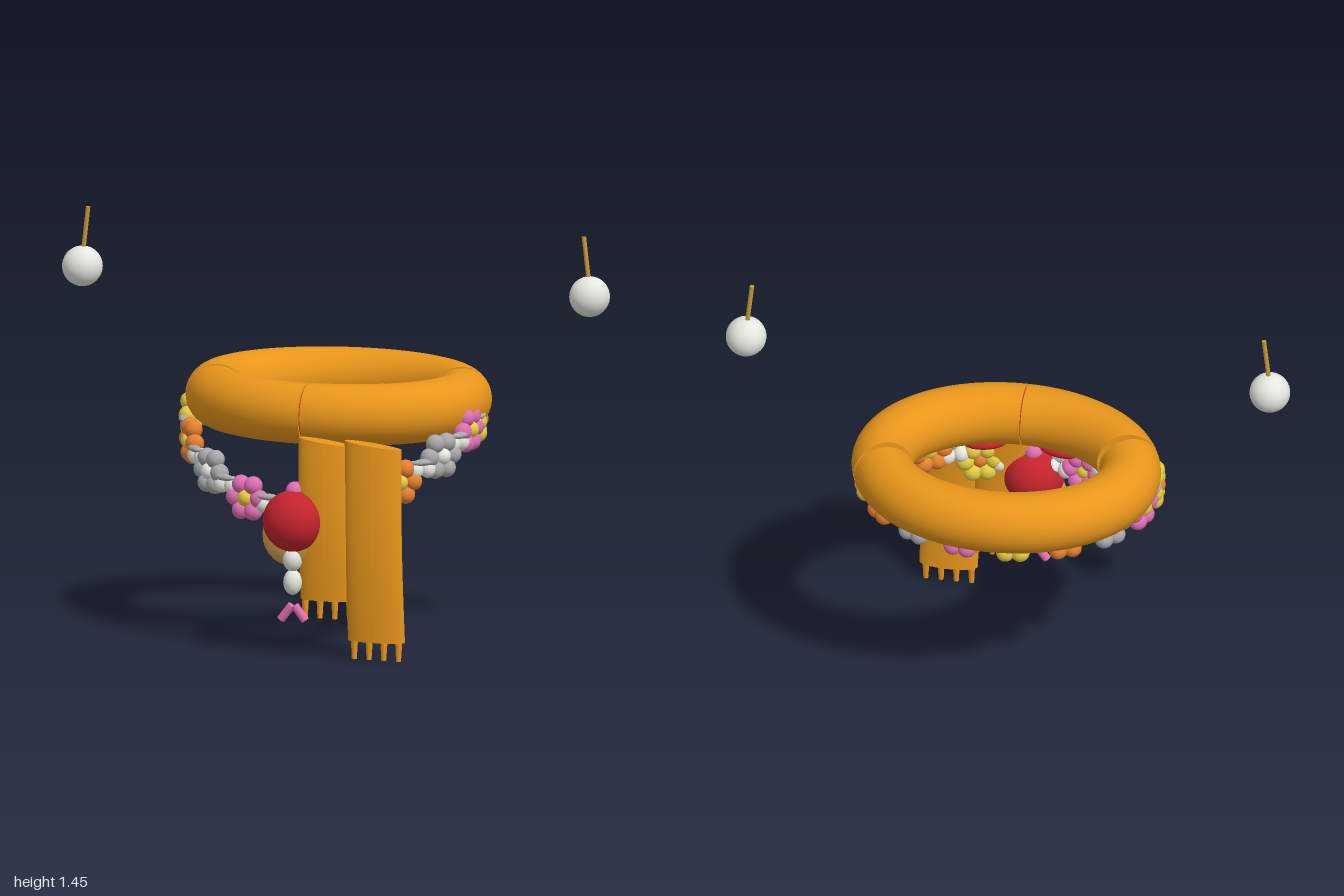
import * as THREE from 'three';
import { toCreasedNormals } from 'three/addons/utils/BufferGeometryUtils.js';

const material = (color) => new THREE.MeshStandardMaterial({ color });
const M = {
  scarf: material(0xe8961a), red: material(0xc4242c), pink: material(0xe06fb2), yellow: material(0xe2cb40),
  grey: material(0xa8a8a8), orange: material(0xe57f30), white: material(0xe6e6e0), gold: material(0xc79a35), tan: material(0xcfa050),
};
const ball = new THREE.SphereGeometry(1, 20, 14);
const bigBall = new THREE.SphereGeometry(1, 40, 28);

function add(parent, name, geometry, mat, x = 0, y = 0, z = 0) {
  const mesh = new THREE.Mesh(geometry, mat);
  mesh.name = name;
  mesh.position.set(x, y, z);
  parent.add(mesh);
  return mesh;
}

function addBall(parent, name, mat, x, y, z, rx, ry = rx, rz = rx, geometry = ball) {
  const mesh = add(parent, name, geometry, mat, x, y, z);
  mesh.scale.set(rx, ry, rz);
  return mesh;
}

// rod between two points
function addRod(parent, name, mat, a, b, r0, r1 = r0) {
  const from = new THREE.Vector3(...a), to = new THREE.Vector3(...b);
  const dir = to.clone().sub(from);
  const mesh = add(parent, name, new THREE.CylinderGeometry(r1, r0, dir.length(), 12), mat);
  mesh.position.copy(from).add(to).multiplyScalar(0.5);
  mesh.quaternion.setFromUnitVectors(new THREE.Vector3(0, 1, 0), dir.normalize());
}

// closed piece of an oval ring; each end opens a wedge towards the inside
function ringSection(start, end, tube, wedgeStart, wedgeEnd) {
  const rx = 0.435, rz = 0.345, rows = 48, sides = 32;
  const pos = [], index = [];
  for (let i = 0; i <= rows + 2; i++) {
    const t = Math.min(Math.max((i - 1) / rows, 0), 1);
    const r = i === 0 || i === rows + 2 ? 0 : tube;
    for (let j = 0; j <= sides; j++) {
      const phi = (j / sides) * Math.PI * 2;
      const inner = r ? (1 - Math.cos(phi)) / 2 : 0.5;
      const a0 = start + 0.006 + wedgeStart * inner, a1 = end - 0.006 - wedgeEnd * inner;
      const a = a0 + (a1 - a0) * t, c = Math.cos(a), s = Math.sin(a);
      const n = new THREE.Vector2(c * rz, s * rx).normalize();
      const out = r * Math.cos(phi);
      pos.push(rx * c + n.x * out, r * Math.sin(phi), rz * s + n.y * out);
      if (i < rows + 2 && j < sides) {
        const k = i * (sides + 1) + j, m = k + sides + 1;
        index.push(k, k + 1, m, k + 1, m + 1, m);
      }
    }
  }
  const g = new THREE.BufferGeometry();
  g.setAttribute('position', new THREE.Float32BufferAttribute(pos, 3));
  g.setIndex(index);
  return toCreasedNormals(g, 0.8);
}

// hanging scarf end: an oval column that leans and bows slightly
function addScarfEnd(parent, name, top, bottom, xTop, xBottom, half, zShift, tassels) {
  const g = new THREE.CylinderGeometry(1, 1, 1, 32, 14);
  const p = g.attributes.position;
  for (let i = 0; i < p.count; i++) {
    const t = 0.5 - p.getY(i);
    const x = THREE.MathUtils.lerp(xTop, xBottom, t) + half * p.getX(i);
    const z = 0.395 + 0.025 * t + 0.015 * Math.sin(Math.PI * t) + zShift + 0.034 * p.getZ(i);
    p.setXYZ(i, x, THREE.MathUtils.lerp(top, bottom, t) - 0.012 * p.getX(i) * (1 - t), z);
  }
  g.computeVertexNormals();
  add(parent, name, g, M.scarf);
  for (let i = 0; i < tassels; i++) {
    const x = xBottom + (i - (tassels - 1) / 2) * 0.054;
    addRod(parent, 'tassel', M.scarf, [x, bottom - 0.066, 0.422 + zShift], [x, bottom + 0.005, 0.42 + zShift], 0.009, 0.013);
  }
}

// height of the garland by angle (degrees) away from the front
const heights = [[0, 0.52], [20, 0.54], [44, 0.62], [67, 0.705], [87, 0.77], [181, 0.77]];
function garlandHeight(deg) {
  const i = heights.findIndex((h) => deg < h[0]);
  const [a, ya] = heights[i - 1], [b, yb] = heights[i];
  return ya + ((yb - ya) * (deg - a)) / (b - a);
}

// group on the garland line whose local z points outward
function garlandSpot(parent, name, turn) {
  const a = turn * Math.PI * 2, deg = turn * 360;
  const g = new THREE.Group();
  g.name = name;
  g.position.set(0.51 * Math.sin(a), garlandHeight(Math.min(deg, 360 - deg)), -0.02 + 0.43 * Math.cos(a));
  g.rotation.y = Math.atan2(Math.sin(a) * 0.43, Math.cos(a) * 0.51);
  parent.add(g);
  return g;
}

export function createModel() {
  const model = new THREE.Group();

  // scarf wrapped in three padded pieces, with a red lining
  const scarf = new THREE.Group();
  scarf.name = 'scarf';
  scarf.position.set(0, 0.832, -0.08);
  model.add(scarf);
  const d = Math.PI / 180;
  add(scarf, 'scarfLeftFront', ringSection(-18 * d, 90 * d, 0.107, 0.1, 0), M.scarf);
  add(scarf, 'scarfRightFront', ringSection(90 * d, 162 * d, 0.107, 0, 0.1), M.scarf);
  add(scarf, 'scarfBack', ringSection(162 * d, 342 * d, 0.107, 0.03, 0.03), M.scarf);
  add(scarf, 'scarfLining', ringSection(55 * d, 125 * d, 0.097, 0, 0), M.red);
  for (const s of [-1, 1]) {
    const patch = addBall(model, 'liningPatch', M.red, s * 0.13, 0.737, 0.205, 0.075, 0.022, 0.032);
    patch.rotation.y = s * 0.28;
  }

  // scarf ends with tassels
  addScarfEnd(model, 'scarfEndShort', 0.76, 0.205, 0.105, 0.12, 0.098, -0.008, 4);
  addScarfEnd(model, 'scarfEndLong', 0.76, 0.07, 0.282, 0.303, 0.104, 0.002, 4);

  // flower garland
  const garland = new THREE.Group();
  garland.name = 'garland';
  model.add(garland);
  const colors = [M.yellow, M.orange, M.grey, M.pink];
  const centers = [M.orange, M.yellow, M.white, M.yellow];
  for (let i = 0; i < 16; i++) {
    const flower = garlandSpot(garland, 'flower', (i + 1) / 17);
    addBall(flower, 'flowerCenter', centers[i % 4], 0, 0, 0.008, 0.03);
    for (let k = 0; k < 6; k++) {
      const a = (k * Math.PI) / 3;
      addBall(flower, 'petal', colors[i % 4], 0.052 * Math.cos(a), 0.052 * Math.sin(a), 0, 0.033);
    }
  }
  for (let i = 0; i < 17; i++) {
    const spacer = garlandSpot(garland, 'spacer', (i + 0.5) / 17);
    for (const s of [-1, 1]) addBall(spacer, 'whiteBead', M.white, s * 0.026, 0, 0, 0.03, 0.032, 0.03);
    addBall(spacer, 'leaf', M.grey, 0, 0.028, 0.018, 0.046, 0.012, 0.018);
  }

  // pendant
  const pendant = new THREE.Group();
  pendant.name = 'pendant';
  model.add(pendant);
  addBall(pendant, 'pendantBall', M.red, 0, 0.48, 0.425, 0.108, 0.108, 0.104, bigBall);
  addBall(pendant, 'pendantDisc', M.tan, -0.01, 0.425, 0.42, 0.106, 0.106, 0.035);
  addBall(pendant, 'pendantTopBead', M.pink, 0, 0.585, 0.41, 0.032);
  addBall(pendant, 'upperBead', M.white, 0, 0.345, 0.435, 0.034, 0.042, 0.034);
  addBall(pendant, 'lowerBead', M.white, 0, 0.265, 0.435, 0.033, 0.045, 0.033);
  for (const s of [-1, 1]) addRod(pendant, 'pendantTip', M.pink, [s * 0.045, 0.13, 0.43], [s * 0.005, 0.182, 0.43], 0.015);

  // pearl earrings
  for (const s of [-1, 1]) {
    const earring = new THREE.Group();
    earring.name = s > 0 ? 'leftEarring' : 'rightEarring';
    model.add(earring);
    addBall(earring, 'pearl', M.white, s * 0.929, 1.244, -0.05, 0.071, 0.071, 0.071, bigBall);
    addRod(earring, 'earringPin', M.gold, [s * 0.928, 1.28, -0.05], [s * 0.908, 1.455, -0.05], 0.008);
  }
  return model;
}
